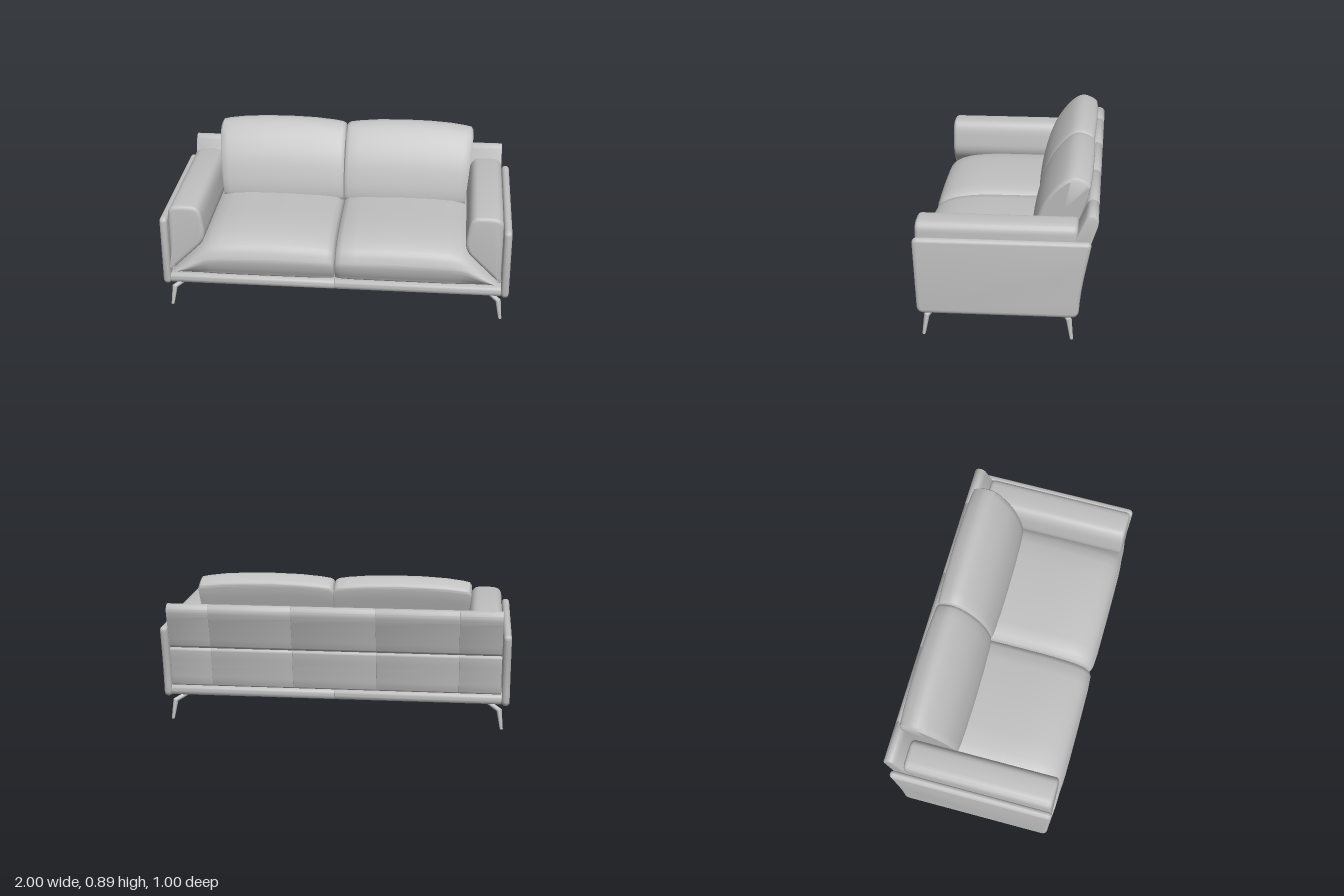
import * as THREE from 'three';
import { toCreasedNormals } from 'three/addons/utils/BufferGeometryUtils.js';

const V = (x, y, z) => new THREE.Vector3(x, y, z);

// Closed smooth outline through [u, v] points, run clockwise
function outline(pts, n = 44) {
  const curve = new THREE.CatmullRomCurve3(pts.map(p => V(p[0], p[1], 0)), true, 'centripetal');
  const out = curve.getPoints(n).slice(0, n);
  return THREE.ShapeUtils.area(out) > 0 ? out.reverse() : out;
}

// Shape with rounded corners from [u, v, radius]
function roundedShape(pts) {
  const s = new THREE.Shape();
  pts.forEach(([u, v, r], i) => {
    const c = new THREE.Vector2(u, v);
    const toward = q => {
      const d = new THREE.Vector2(q[0], q[1]).sub(c);
      return d.setLength(Math.min(r, d.length() / 2)).add(c);
    };
    const a = toward(pts[(i + pts.length - 1) % pts.length]);
    const b = toward(pts[(i + 1) % pts.length]);
    if (i) s.lineTo(a.x, a.y); else s.moveTo(a.x, a.y);
    s.quadraticCurveTo(u, v, b.x, b.y);
  });
  s.closePath();
  return s;
}

// Skin over rings of equal length, with both ends capped
function loft(rings) {
  const n = rings[0].length, pos = [], idx = [];
  const centre = r => r.reduce((s, p) => s.add(p), V(0, 0, 0)).divideScalar(n);
  rings.forEach(r => r.forEach(p => pos.push(p.x, p.y, p.z)));
  const first = rings.length * n, last = first + 1, top = first - n;
  for (const c of [centre(rings[0]), centre(rings.at(-1))]) pos.push(c.x, c.y, c.z);
  for (let j = 0; j < n; j++) {
    const k = (j + 1) % n;
    for (let i = 0; i < rings.length - 1; i++) {
      const a = i * n + j, b = i * n + k;
      idx.push(a, b, b + n, a, b + n, a + n);
    }
    idx.push(first, k, j, last, top + j, top + k);
  }
  const g = new THREE.BufferGeometry();
  g.setAttribute('position', new THREE.Float32BufferAttribute(pos, 3));
  g.setIndex(idx);
  return toCreasedNormals(g, 0.7);
}

function extrude(pts, depth, bevel, bevelDepth = bevel) {
  return new THREE.ExtrudeGeometry(roundedShape(pts), {
    depth: depth - 2 * bevelDepth, curveSegments: 8, bevelEnabled: true, bevelSegments: 4,
    bevelSize: bevel, bevelThickness: bevelDepth, bevelOffset: -bevel,
  }).translate(0, 0, bevelDepth);
}

// Side profile given as [z, y, radius], extruded from x0 to x1
function extrudeX(pts, x0, x1, bevel, bevelDepth) {
  const g = extrude(pts.map(([z, y, r]) => [-z, y, r]), x1 - x0, bevel, bevelDepth);
  return toCreasedNormals(g.rotateY(Math.PI / 2).translate(x0, 0, 0), 0.7);
}

// Mirrored copy across x = 0 with its winding restored
function mirrored(geo) {
  const g = geo.clone().scale(-1, 1, 1);
  for (const attr of Object.values(g.attributes)) {
    const { array, itemSize: s } = attr;
    for (let t = 0; t < array.length; t += 3 * s) {
      for (let k = 0; k < s; k++) {
        const tmp = array[t + s + k];
        array[t + s + k] = array[t + 2 * s + k];
        array[t + 2 * s + k] = tmp;
      }
    }
  }
  return g;
}

function seatCushion() {
  // v is a fraction of the local height
  const prof = outline([[0.45, 0], [0.3, 0], [-0.3, 0], [-0.35, 0.1], [-0.35, 0.8], [-0.3, 0.97], [0, 1],
    [0.25, 0.98], [0.38, 0.9], [0.46, 0.75], [0.495, 0.52], [0.5, 0.4], [0.475, 0.1]], 60);
  // [x, top height, front shift]
  const cuts = [[0.003, 0.43, -0.025], [0.012, 0.448, -0.015], [0.04, 0.465, -0.007], [0.12, 0.475, -0.002],
    [0.35, 0.483, 0], [0.55, 0.48, 0], [0.66, 0.471, -0.001], [0.72, 0.455, -0.004], [0.76, 0.428, -0.008],
    [0.85, 0.33, -0.012], [0.94, 0.232, -0.022]];
  return loft(cuts.map(([x, top, dz]) =>
    prof.map(p => V(x, 0.22 + p.y * (top - 0.22), p.x + (p.x > 0.2 ? dz : 0)))));
}

function backCushion() {
  const prof = outline([[-0.13, 0.44], [-0.12, 0.49], [-0.16, 0.65], [-0.21, 0.75], [-0.28, 0.837], [-0.33, 0.876],
    [-0.37, 0.886], [-0.41, 0.876], [-0.457, 0.845], [-0.455, 0.81], [-0.42, 0.7], [-0.35, 0.5], [-0.32, 0.44]], 60);
  // [fraction across, section scale]
  const cuts = [[0, 0.9], [0.008, 0.925], [0.03, 0.945], [0.1, 0.965], [0.25, 0.99], [0.45, 1], [0.65, 0.995],
    [0.82, 0.975], [0.94, 0.945], [0.985, 0.925], [1, 0.88]];
  return loft(cuts.map(([t, s]) => prof.map(p => {
    const y = 0.48 + (p.y - 0.48) * s;
    const width = 0.735 + 0.035 * THREE.MathUtils.clamp((y - 0.46) / 0.35, 0, 1);
    return V(0.003 + t * (width - 0.003), y, -0.32 + (p.x + 0.32) * s);
  })));
}

// Bent, tapered leg; dir is +1 at the front and -1 at the back
function leg(z, dir) {
  const rings = [[0.958, 0, 0, 0.009, [0, 1, 0]], [0.943, 0.108, -0.016, 0.016, [-0.45, 1, -0.4]],
    [0.85, 0.156, -0.085, 0.013, [-0.8, 0.5, -0.6]]];
  return loft(rings.map(([x, y, dz, r, n]) => {
    const q = new THREE.Quaternion().setFromUnitVectors(V(0, 1, 0), V(n[0], n[1], n[2] * dir).normalize());
    return Array.from({ length: 12 }, (_, i) => {
      const a = -i * Math.PI / 6;
      return V(r * Math.cos(a), 0, r * Math.sin(a)).applyQuaternion(q).add(V(x, y, z + dir * dz));
    });
  }));
}

export function createModel() {
  const sofa = new THREE.Group();
  sofa.name = 'sofa';
  const upholstery = new THREE.MeshStandardMaterial({ color: 0xc0c0c0 });
  upholstery.name = 'greyUpholstery';
  const add = (name, geo) => {
    const m = new THREE.Mesh(geo, upholstery);
    m.name = name;
    sofa.add(m);
  };
  const addPair = (name, geo) => {
    add(name + 'Left', geo);
    add(name + 'Right', mirrored(geo));
  };

  // Base rail in two halves
  addPair('base', extrudeX([[0.47, 0.152, 0.03], [0.47, 0.212, 0.03], [-0.4, 0.212, 0.03], [-0.4, 0.152, 0.03]],
    0.001, 0.955, 0.003));

  // Outer side panels
  addPair('sidePanel', extrudeX([[0.472, 0.14, 0.04], [0.492, 0.576, 0.035], [-0.467, 0.576, 0.03],
    [-0.412, 0.3, 0.15], [-0.4, 0.14, 0.04]], 0.955, 1, 0.022, 0.02));

  // Armrests with a slanted lower edge
  const arm = extrude([[0.95, 0.235, 0.02], [0.95, 0.645, 0.05], [0.85, 0.655, 0.05], [0.762, 0.645, 0.08],
    [0.737, 0.445, 0.06]], 0.87, 0.022).translate(0, 0, -0.39);
  addPair('armrest', toCreasedNormals(arm, 0.7));

  // Seat and back cushions
  addPair('seatCushion', seatCushion());
  addPair('backCushion', backCushion());

  // Back frame: five columns, two padded rows
  const lower = [[-0.3, 0.21, 0.01], [-0.39, 0.21, 0.02], [-0.407, 0.32, 0.1], [-0.43, 0.445, 0.02],
    [-0.36, 0.45, 0.02]];
  const upper = [[-0.34, 0.445, 0.02], [-0.427, 0.445, 0.025], [-0.462, 0.56, 0.1], [-0.503, 0.68, 0.04],
    [-0.482, 0.716, 0.03], [-0.44, 0.716, 0.03], [-0.38, 0.58, 0.05]];
  const seams = [-0.95, -0.71, -0.24, 0.24, 0.71, 0.95];
  for (let i = 0; i < 5; i++) {
    add('backLowerPanel' + (i + 1), extrudeX(lower, seams[i], seams[i + 1], 0.003));
    add('backUpperPanel' + (i + 1), extrudeX(upper, seams[i], seams[i + 1], 0.003));
  }

  // Legs
  addPair('frontLeg', leg(0.44, 1));
  addPair('backLeg', leg(-0.365, -1));
  return sofa;
}
